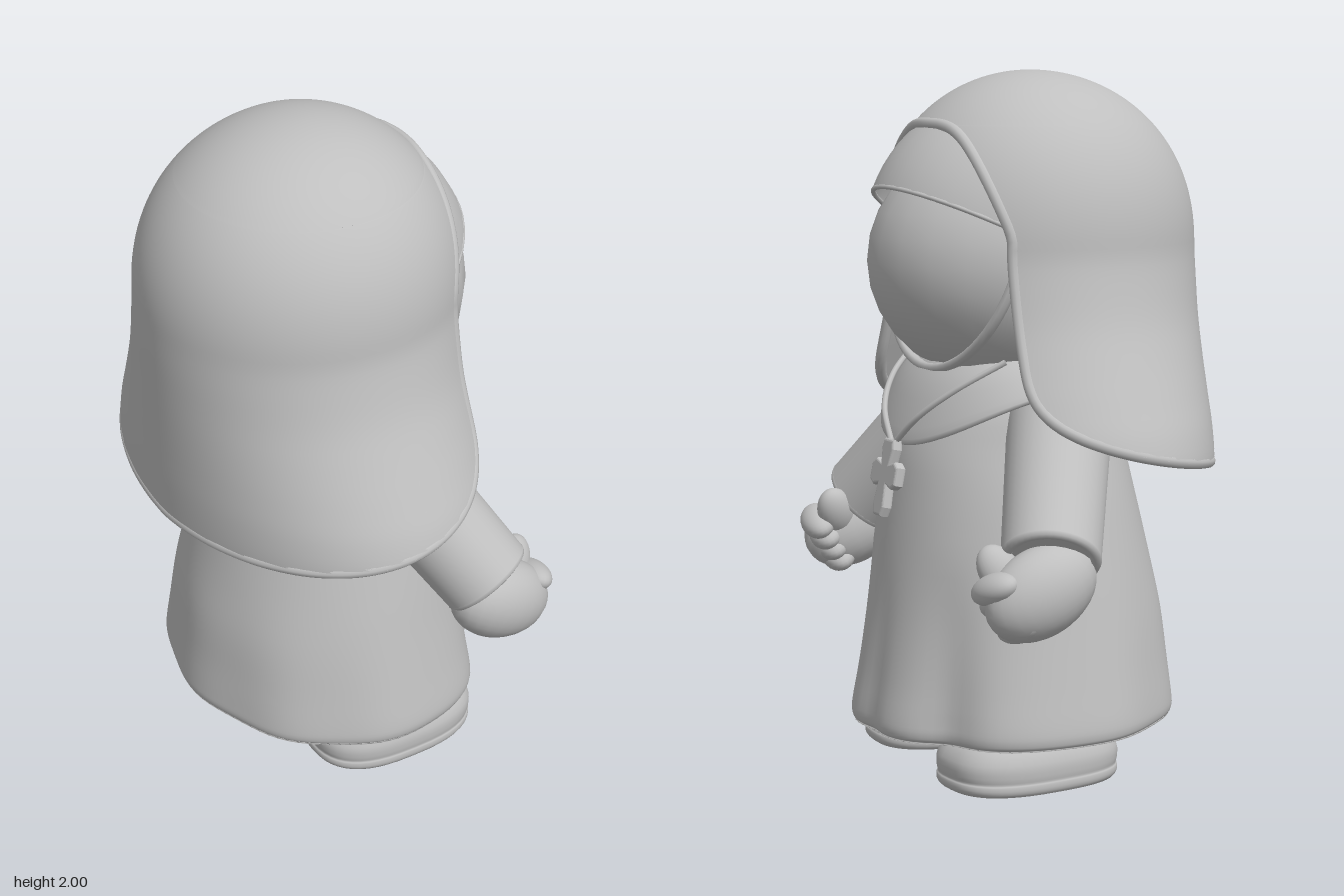
import * as THREE from 'three';
import { mergeVertices } from 'three/addons/utils/BufferGeometryUtils.js';

const cloth = new THREE.MeshStandardMaterial({ color: 0xbfbfbf, side: THREE.DoubleSide });
cloth.name = 'plain grey';
const V = (x, y, z) => new THREE.Vector3(x, y, z);

function add(parent, name, geometry) {
  const m = new THREE.Mesh(geometry, cloth);
  m.name = name;
  parent.add(m);
  return m;
}

// Smooth surface from a rule f(u, v), u and v in 0..1
function grid(nu, nv, f) {
  const pos = [], idx = [];
  for (let j = 0; j <= nv; j++)
    for (let i = 0; i <= nu; i++) pos.push(...f(i / nu, j / nv));
  for (let j = 0; j < nv; j++)
    for (let i = 0; i < nu; i++) {
      const a = j * (nu + 1) + i, b = a + nu + 1;
      idx.push(a, b, a + 1, a + 1, b, b + 1);
    }
  let g = new THREE.BufferGeometry();
  g.setAttribute('position', new THREE.Float32BufferAttribute(pos, 3));
  g.setIndex(idx);
  g = mergeVertices(g, 1e-4);
  g.computeVertexNormals();
  return g;
}

// Smooth interpolation through table rows, t in 0..1
function sample(rows, t) {
  const n = rows.length - 1, i = Math.min(Math.floor(t * n), n - 1), w = t * n - i;
  const at = k => rows[Math.max(0, Math.min(n, k))];
  return rows[i].map((b, c) => {
    const a = at(i - 1)[c], d = at(i + 1)[c], e = at(i + 2)[c];
    return b + 0.5 * w * (d - a + w * (2 * a - 5 * b + 4 * d - e + w * (3 * (b - d) + e - a)));
  });
}

function ellipsoid(parent, name, p, r, rot = [0, 0, 0]) {
  const m = add(parent, name, new THREE.SphereGeometry(1, 24, 16));
  m.position.set(...p);
  m.scale.set(...r);
  m.rotation.set(...rot);
  return m;
}

// Veil half width, front depth and back depth at y = 1.5, 1.4 ... 0.8
const VEIL = [
  [0.455, 0.45, 0.482], [0.475, 0.45, 0.482], [0.505, 0.45, 0.48], [0.55, 0.455, 0.478],
  [0.6, 0.465, 0.476], [0.648, 0.47, 0.474], [0.675, 0.45, 0.47], [0.66, 0.43, 0.465],
];
const BROW = 0.3, BROW_Y = 1.85, BACK_Y = 0.87;
function veilPoint(s, t) {
  // Rounded dome down to the brow, then an open front down to the hem
  const k = (t - BROW) / (1 - BROW);
  const y = t <= BROW ? 2 - (2 - BROW_Y) * (t / BROW) ** 2 : BROW_Y - (BROW_Y - BACK_Y) * k * k * (3 - 2 * k);
  const [w, f, b] = sample(VEIL, Math.max(0, Math.min(1, (1.5 - y) / 0.7)));
  const dome = Math.sqrt(Math.max(0, 1 - Math.max(0, (y - 1.5) / 0.5) ** 2.2));
  const brow = 55 * Math.max(0, Math.min(1, (BROW_Y - y) / 0.3)) ** 0.3;
  const hem = 125 * Math.max(0, Math.min(1, (1.3 - y) / 0.43)) ** 5;
  const e = THREE.MathUtils.degToRad(brow + hem);
  const a = e + s * 2 * (Math.PI - e), c = Math.cos(a);
  return [w * dome * Math.sin(a), y, -0.03 + (c > 0 ? f : b) * dome * c];
}

function buildVeil(g) {
  add(g, 'veil', grid(72, 80, veilPoint));
  const edge = [], n = 40;
  const push = (s, t) => {
    const p = veilPoint(s, t);
    edge.push(V(p[0] * 0.975, p[1], p[2] * 0.975));
  };
  for (let i = 0; i <= n; i++) push(0, BROW + (1 - BROW) * i / n);
  for (let i = n - 1; i > 0; i--) push(1, BROW + (1 - BROW) * i / n);
  add(g, 'veilHem', new THREE.TubeGeometry(new THREE.CatmullRomCurve3(edge, true), 200, 0.017, 10, true));
}

function buildHead(g) {
  ellipsoid(g, 'face', [0, 1.46, 0], [0.4, 0.37, 0.455]);
  // Forehead band: tilted cap with a rolled edge
  const tilt = -0.497, cut = 1.69;
  const band = new THREE.SphereGeometry(1, 40, 20, 0, Math.PI * 2, 0, cut).rotateX(tilt);
  const bandRim = new THREE.TorusGeometry(Math.sin(cut) - 0.012, 0.016, 8, 64)
    .rotateX(Math.PI / 2).translate(0, Math.cos(cut), 0).rotateX(tilt);
  for (const [name, geo] of [['foreheadBand', band], ['foreheadBandEdge', bandRim]])
    add(g, name, geo.scale(0.41, 0.43, 0.462).translate(0, 1.52, 0));
  // Coif wrapping cheeks and chin
  const lean = 1.34, open = 1.117;
  const coif = new THREE.SphereGeometry(1, 40, 20, 0, Math.PI * 2, open, Math.PI - open).rotateX(lean);
  const coifRim = new THREE.TorusGeometry(Math.sin(open), 0.035, 8, 64)
    .translate(0, 0, Math.cos(open)).rotateX(lean - Math.PI / 2);
  for (const [name, geo] of [['coif', coif], ['coifEdge', coifRim]])
    add(g, name, geo.scale(0.415, 0.385, 0.47).translate(0, 1.46, 0));
}

function buildRobe(g) {
  // Rows: y, half width, centre z, half depth
  const rows = [
    [1.22, 0, 0.05, 0], [1.19, 0.2, 0.05, 0.18], [1.08, 0.3, 0.05, 0.28], [0.95, 0.335, 0.05, 0.335],
    [0.8, 0.38, 0.045, 0.365], [0.6, 0.425, 0.035, 0.4], [0.45, 0.455, 0.03, 0.425], [0.3, 0.485, 0.035, 0.445],
    [0.2, 0.505, 0.04, 0.46], [0.16, 0.507, 0.04, 0.462], [0.143, 0.495, 0.04, 0.45], [0.14, 0.45, 0.04, 0.41], [0.15, 0, 0.04, 0],
  ];
  const dent = (x, w) => Math.exp(-((x / w) ** 2));
  add(g, 'robe', grid(96, 48, (u, v) => {
    const a = u * Math.PI * 2, c = Math.cos(a), off = Math.min(a, Math.PI * 2 - a);
    const [y, rx, z, rz] = sample(rows, v);
    const low = Math.max(0, Math.min(1, (0.65 - y) / 0.45));
    // Soft folds: a dip in the middle, one above each foot, ripples behind
    const fold = 1 - low * (0.035 * dent(off, 0.12) + 0.09 * dent(off - 0.62, 0.2) + 0.012 * (1 - c) * Math.cos(9 * a) / 2);
    return [rx * fold * Math.sin(a), y - 0.015 * c * low, z + rz * fold * c];
  }));
  // Shoulder collar dipping at the front, with a turned-under edge
  const collarRows = [[0.27, 1.22, 0.21, 0], [0.35, 1.18, 0.29, 0.4], [0.405, 1.125, 0.35, 1], [0.385, 1.11, 0.33, 1]];
  add(g, 'collar', grid(64, 12, (u, v) => {
    const a = u * Math.PI * 2, c = Math.cos(a);
    const [rx, y, rz, dip] = sample(collarRows, v);
    return [rx * Math.sin(a), y - 0.16 * dip * Math.max(0, c) ** 2, 0.05 + rz * c];
  }));
}

function buildArm(side) {
  const top = V(0.3, 1.03, 0.04), cuff = V(0.572, 0.7, 0.22), dir = cuff.clone().sub(top);
  const q = new THREE.Quaternion().setFromUnitVectors(V(0, -1, 0), dir.clone().normalize());
  ellipsoid(side, 'shoulder', [0.3, 1.03, 0.04], [0.148, 0.148, 0.148]);
  const sleeve = add(side, 'sleeve', new THREE.CylinderGeometry(0.148, 0.137, dir.length(), 32));
  sleeve.position.copy(top).add(cuff).multiplyScalar(0.5);
  sleeve.quaternion.copy(q);
  const rim = add(side, 'cuff', new THREE.TorusGeometry(0.122, 0.016, 8, 40).rotateX(Math.PI / 2));
  rim.position.copy(cuff);
  rim.quaternion.copy(q);
  // Loosely closed hand
  ellipsoid(side, 'palm', [0.59, 0.615, 0.26], [0.1, 0.122, 0.172], [0.45, 0, 0]);
  for (let i = 0; i < 4; i++)
    ellipsoid(side, 'finger', [0.585 - 0.004 * i, 0.525 + 0.036 * i, 0.32 + 0.024 * i],
      [0.085, 0.042, 0.052], [0.4, 0.3, 0.2]);
  ellipsoid(side, 'thumb', [0.53, 0.665, 0.35], [0.046, 0.085, 0.058], [0.5, 0, 0.35]);
}

function buildShoe(side, x, z) {
  // Rows: y, outline scale
  const rows = [[0.16, 0], [0.154, 0.6], [0.132, 0.86], [0.09, 0.98], [0.055, 0.99], [0.037, 0.975],
    [0.03, 0.99], [0.015, 0.99], [0.002, 0.95], [0, 0.85], [0, 0]];
  const pow = n => Math.sign(n) * Math.abs(n) ** 0.75;
  const shoe = add(side, 'shoe', grid(48, 30, (u, v) => {
    const a = u * Math.PI * 2, [y, s] = sample(rows, v);
    return [0.185 * s * pow(Math.sin(a)), Math.max(0, y), 0.265 * s * pow(Math.cos(a))];
  }));
  shoe.position.set(x, 0, z);
  shoe.rotation.y = 0.06;
}

function buildPendant(g) {
  // Cross outline with slightly flared ends, mirrored across its middle
  const half = [[0.022, 0.105], [0.028, 0.085], [0.018, 0.035], [0.055, 0.044], [0.072, 0.034], [0.072, -0.008],
    [0.055, -0.018], [0.018, -0.01], [0.026, -0.08], [0.018, -0.1]];
  const pts = [...half, ...half.map(([x, y]) => [-x, y]).reverse()].map(p => new THREE.Vector2(...p));
  const geo = new THREE.ExtrudeGeometry(new THREE.Shape(pts),
    { depth: 0.016, bevelSize: 0.008, bevelThickness: 0.008, bevelSegments: 3 });
  const cross = add(g, 'pendant', geo.translate(0, 0, -0.008));
  cross.position.set(0, 0.852, 0.432);
  cross.rotation.x = -0.2;
}

export function createModel() {
  const model = new THREE.Group(), figure = new THREE.Group();
  model.name = 'robedFigure';
  figure.name = 'figure';
  figure.rotation.y = Math.PI / 2;
  model.add(figure);
  buildVeil(figure);
  buildHead(figure);
  buildRobe(figure);
  buildPendant(figure);
  for (const s of [1, -1]) {
    const side = new THREE.Group();
    side.name = s > 0 ? 'leftSide' : 'rightSide';
    side.scale.x = s;
    figure.add(side);
    buildArm(side);
    // One foot stands slightly ahead of the other
    buildShoe(side, 0.27 - 0.015 * s, 0.1 + 0.018 * s);
    const cord = new THREE.CatmullRomCurve3([V(0.28, 1.2, 0.2), V(0.2, 1.12, 0.315), V(0.11, 1.04, 0.385), V(0, 0.945, 0.415)]);
    add(side, 'necklaceCord', new THREE.TubeGeometry(cord, 32, 0.009, 8));
  }
  return model;
}
